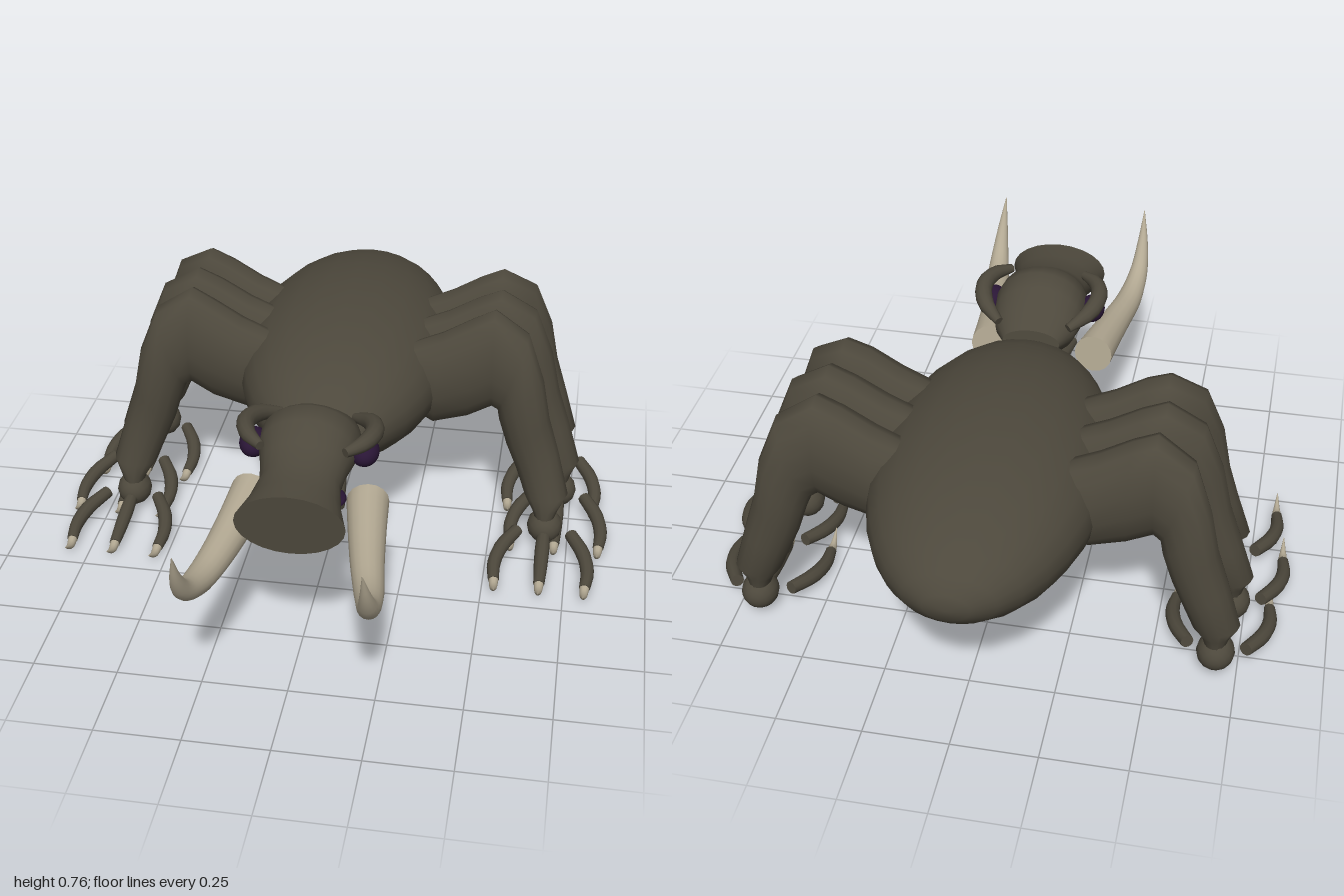
import * as THREE from 'three';

const V = (x, y, z) => new THREE.Vector3(x, y, z);
const mat = (name, color) => {
  const m = new THREE.MeshStandardMaterial({ color });
  m.name = name;
  return m;
};

// Skin through elliptical rings { c: centre, u, v: half axes }, u x v pointing along the loft
function loft(rings, n = 14) {
  const pos = [], idx = [];
  const addRing = ({ c, u, v }) => {
    for (let j = 0; j < n; j++) {
      const a = (j / n) * Math.PI * 2;
      pos.push(...c.clone().addScaledVector(u, Math.cos(a)).addScaledVector(v, Math.sin(a)).toArray());
    }
  };
  rings.forEach(addRing);
  for (let i = 0; i < rings.length - 1; i++) {
    for (let j = 0; j < n; j++) {
      const a = i * n + j, b = i * n + (j + 1) % n;
      idx.push(a, b, b + n, a, b + n, a + n);
    }
  }
  // End caps with their own corners, for a crisp edge
  [rings[0], rings[rings.length - 1]].forEach((r, end) => {
    const s = pos.length / 3;
    addRing(r);
    pos.push(...r.c.toArray());
    for (let j = 0; j < n; j++) {
      const a = s + j, b = s + (j + 1) % n;
      if (end) idx.push(a, b, s + n); else idx.push(b, a, s + n);
    }
  });
  const g = new THREE.BufferGeometry();
  g.setAttribute('position', new THREE.Float32BufferAttribute(pos, 3));
  g.setIndex(idx);
  g.computeVertexNormals();
  return g;
}

// Round tube along a smooth path with evenly spread radii
function taper(points, radii, steps = 10, n = 12) {
  const curve = new THREE.CatmullRomCurve3(points.map(p => V(...p)));
  const rings = [];
  for (let i = 0; i <= steps; i++) {
    const t = i / steps, f = t * (radii.length - 1), k = Math.min(Math.floor(f), radii.length - 2);
    const r = THREE.MathUtils.lerp(radii[k], radii[k + 1], f - k);
    const T = curve.getTangent(t);
    const u = V(0, 1, 0).cross(T).normalize();
    rings.push({ c: curve.getPoint(t), u: u.clone().multiplyScalar(r), v: T.clone().cross(u).multiplyScalar(r) });
  }
  return loft(rings, n);
}

function ball(x, y, z, rx, ry, rz, ws = 20, hs = 14) {
  return new THREE.SphereGeometry(1, ws, hs).rotateX(Math.PI / 2).scale(rx, ry, rz).translate(x, y, z);
}

function mirrored(geo) {
  const g = geo.clone().scale(-1, 1, 1), a = g.index.array;
  for (let i = 0; i < a.length; i += 3) [a[i], a[i + 1]] = [a[i + 1], a[i]];
  return g;
}

export function createModel() {
  const model = new THREE.Group();
  const hide = mat('dark hide', 0x4d483c);
  const ivory = mat('ivory', 0xb3a993);
  const violet = mat('dark violet', 0x2a1636);

  const add = (name, geo, m) => {
    const mesh = new THREE.Mesh(geo, m);
    mesh.name = name;
    model.add(mesh);
  };
  const pair = (name, geo, m) => {
    add(name + 'Left', geo, m);
    add(name + 'Right', mirrored(geo), m);
  };

  // Body
  add('body', ball(0, 0.5, -0.39, 0.34, 0.217, 0.61, 24, 16), hide);

  // Head, from the nape to the flared snout: z, half width, top, bottom
  const headRings = [
    [0.18, 0.09, 0.61, 0.53], [0.24, 0.125, 0.655, 0.495], [0.3, 0.14, 0.695, 0.485],
    [0.35, 0.145, 0.72, 0.48], [0.41, 0.14, 0.708, 0.485], [0.47, 0.123, 0.668, 0.49],
    [0.53, 0.115, 0.638, 0.48], [0.61, 0.13, 0.63, 0.46], [0.69, 0.155, 0.63, 0.44],
  ].map(([z, w, t, b]) => ({ c: V(0, (t + b) / 2, z), u: V(w, 0, 0), v: V(0, (t - b) / 2, 0.005) }));
  add('head', loft(headRings, 24), hide);

  // Lower jaw and mouth
  add('lowerJaw', loft([
    { c: V(0, 0.45, 0.24), u: V(0.09, 0, 0), v: V(0, 0.034, 0.012) },
    { c: V(0, 0.43, 0.42), u: V(0.11, 0, 0), v: V(0, 0.036, 0.012) },
  ], 20), hide);
  add('mouth', ball(0, 0.495, 0.48, 0.125, 0.021, 0.085), violet);

  // Eyes, brows and tusks
  pair('eye', ball(0.16, 0.595, 0.375, 0.042, 0.04, 0.055), violet);
  pair('brow', taper(
    [[0.11, 0.61, 0.22], [0.165, 0.635, 0.28], [0.185, 0.652, 0.36], [0.165, 0.655, 0.43], [0.12, 0.65, 0.48]],
    [0.014, 0.027, 0.027, 0.024, 0.014]), hide);
  pair('tusk', taper(
    [[0.17, 0.425, 0.37], [0.187, 0.41, 0.5], [0.208, 0.397, 0.64], [0.233, 0.398, 0.78],
      [0.247, 0.44, 0.89], [0.249, 0.52, 0.955], [0.245, 0.62, 1.0]],
    [0.062, 0.055, 0.048, 0.041, 0.031, 0.018, 0.001], 20, 16), ivory);

  // Leg sections: outer x, y, inner x, y, half depth
  const sections = [
    [0.22, 0.64, 0.22, 0.42, 0.075], [0.32, 0.685, 0.30, 0.375, 0.09], [0.41, 0.74, 0.41, 0.405, 0.088],
    [0.48, 0.772, 0.485, 0.44, 0.084], [0.59, 0.71, 0.505, 0.445, 0.078], [0.645, 0.57, 0.515, 0.42, 0.07],
    [0.672, 0.44, 0.545, 0.33, 0.066], [0.71, 0.32, 0.58, 0.25, 0.066], [0.752, 0.18, 0.615, 0.17, 0.06],
    [0.73, 0.14, 0.645, 0.13, 0.042], [0.71, 0.08, 0.665, 0.075, 0.04],
  ];
  // Legs: depth at hip, knee, shin and foot, and foot centre x
  const legs = [
    ['front', -0.2, -0.21, -0.16, -0.11, 0.675],
    ['middle', -0.35, -0.35, -0.35, -0.33, 0.71],
    ['rear', -0.5, -0.5, -0.555, -0.555, 0.685],
  ];
  for (const [name, hip, knee, shin, foot, fx] of legs) {
    const depths = [hip, hip, hip, knee, (knee + shin) / 2, shin, shin, shin, (shin + foot) / 2, foot, foot];
    pair(name + 'Leg', loft(sections.map(([ox, oy, ix, iy, d], i) => ({
      c: V((ox + ix) / 2 + (fx - 0.69) * i / 10, (oy + iy) / 2, depths[i]),
      u: V((ox - ix) / 2, (oy - iy) / 2, 0), v: V(0, 0, d),
    })), 14), hide);
    pair(name + 'Foot', ball(fx, 0.07, foot, 0.056, 0.055, 0.06, 14, 10), hide);

    // Three splayed toes with curved claws
    for (const [k, toe] of [[-1, 'Inner'], [0, 'Middle'], [1, 'Outer']]) {
      pair(name + toe + 'Toe', taper(
        [[fx + k * 0.085, 0.062, foot + 0.03], [fx + k * 0.128, 0.048, foot + 0.11],
          [fx + k * 0.145, 0.035, foot + 0.19], [fx + k * 0.14, 0.025, foot + 0.26]],
        [0.02, 0.023, 0.021, 0.017], 8, 10), hide);
      pair(name + toe + 'Claw', taper(
        [[fx + k * 0.14, 0.025, foot + 0.25], [fx + k * 0.138, 0.02, foot + 0.29], [fx + k * 0.135, 0.05, foot + 0.345]],
        [0.016, 0.012, 0.001], 8, 10), ivory);
    }
  }
  return model;
}
